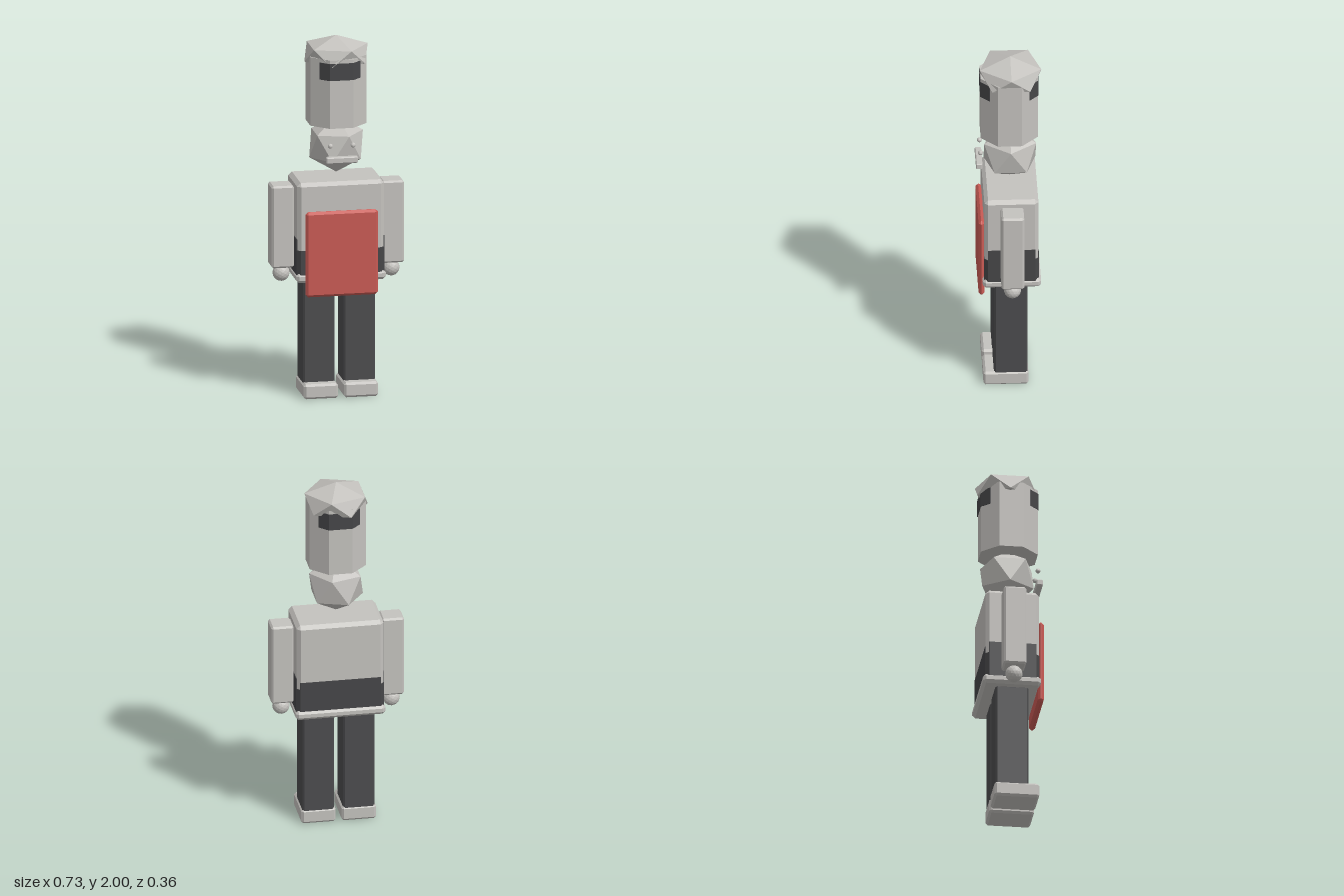
import * as THREE from 'three';
import { ConvexGeometry } from 'three/addons/geometries/ConvexGeometry.js';

const paint = (name, color) => {
  const m = new THREE.MeshStandardMaterial({ color, flatShading: true });
  m.name = name;
  return m;
};

// Box given by its limits, with all edges cut at c
function bevelBox(x0, x1, y0, y1, z0, z1, c) {
  const w = (x1 - x0) / 2, h = (y1 - y0) / 2, d = (z1 - z0) / 2;
  const pts = [];
  for (const sx of [-1, 1]) for (const sy of [-1, 1]) for (const sz of [-1, 1]) {
    pts.push(new THREE.Vector3(sx * w, sy * (h - c), sz * (d - c)));
    pts.push(new THREE.Vector3(sx * (w - c), sy * h, sz * (d - c)));
    pts.push(new THREE.Vector3(sx * (w - c), sy * (h - c), sz * d));
  }
  return new ConvexGeometry(pts).translate((x0 + x1) / 2, (y0 + y1) / 2, (z0 + z1) / 2);
}

// Icosahedron standing on a corner, with one upper corner facing +x
function gem(r, halfHeight, y, z) {
  const pts = [new THREE.Vector3(0, halfHeight, 0), new THREE.Vector3(0, -halfHeight, 0)];
  const ring = r * 0.8944, rise = halfHeight * 0.4472;
  for (let i = 0; i < 5; i++) {
    const a = (i * Math.PI * 2) / 5;
    pts.push(new THREE.Vector3(ring * Math.cos(a), rise, ring * Math.sin(a)));
    pts.push(new THREE.Vector3(-ring * Math.cos(a), -rise, ring * Math.sin(a)));
  }
  return new ConvexGeometry(pts).translate(0, y, z);
}

// Upright prism: one quarter of the outline is mirrored to all four corners
function prism(quarter, y0, y1, z) {
  const pts = [];
  for (const [x, d] of quarter)
    for (const sx of [-1, 1]) for (const sz of [-1, 1]) for (const y of [y0, y1])
      pts.push(new THREE.Vector3(sx * x, y, sz * d + z));
  return new ConvexGeometry(pts);
}

export function createModel() {
  const light = paint('pale grey', 0xc4c2be);
  const dark = paint('charcoal', 0x4c4c4e);
  const black = paint('dark charcoal', 0x464648);
  const red = paint('apron red', 0xc85a54);

  const model = new THREE.Group();
  const add = (name, geometry, material) => {
    const mesh = new THREE.Mesh(geometry, material);
    mesh.name = name;
    model.add(mesh);
    return mesh;
  };

  // Legs, shoes, arms, hands and eyes in pairs
  for (const s of [-1, 1]) {
    const side = s > 0 ? 'left' : 'right';
    const pair = (a, b) => (s > 0 ? [a, b] : [-b, -a]);
    add(side + 'Leg', bevelBox(...pair(0.025, 0.199), 0.03, 0.66, -0.098, 0.085, 0.01), dark);
    add(side + 'Shoe', bevelBox(...pair(0.016, 0.206), 0, 0.083, -0.103, 0.142, 0.012), light);
    add(side + 'Arm', bevelBox(...pair(0.243, 0.366), 0.72, 1.18, -0.073, 0.051, 0.01), light);
    const hand = add(side + 'Hand', new THREE.IcosahedronGeometry(0.047, 2), light);
    hand.position.set(s * 0.304, 0.682, -0.011);
    const eye = add(side + 'Eye', new THREE.IcosahedronGeometry(0.014, 1), light);
    eye.position.set(s * 0.063, 1.42, 0.152);
  }

  // Jacket with dark lower part, higher on the back and sides
  add('torso', bevelBox(-0.24, 0.24, 0.68, 1.212, -0.156, 0.138, 0.02), light);
  add('jacketHem', prism([[0.243, 0.129], [0.223, 0.149]], 0.69, 0.835, -0.009), black);
  add('jacketHemBack', prism([[0.223, 0.003]], 0.83, 0.876, -0.155), black);
  for (const s of [-1, 1]) {
    const panel = add('jacketHemSide', new THREE.BoxGeometry(0.006, 0.07, 0.258), black);
    panel.position.set(s * 0.24, 0.862, -0.009);
  }
  add('belt', bevelBox(-0.248, 0.248, 0.654, 0.707, -0.17, 0.147, 0.016), light);
  add('apron', bevelBox(-0.2, 0.2, 0.578, 1.055, 0.135, 0.168, 0.014), red);

  // Head and mouth
  add('head', gem(0.166, 0.158, 1.391, -0.01), light);
  add('mouth', bevelBox(-0.087, 0.087, 1.325, 1.36, 0.142, 0.177, 0.005), light);

  // Tall hat with dark patches on front and back and a faceted top
  add('hat', prism([[0.156, 0.065], [0.065, 0.156]], 1.516, 1.9, -0.005), light);
  add('hatBand', prism([[0.114, 0.111], [0.066, 0.159]], 1.785, 1.88, -0.005), black);
  add('hatTop', gem(0.196, 0.098, 1.902, -0.012), light);

  return model;
}
